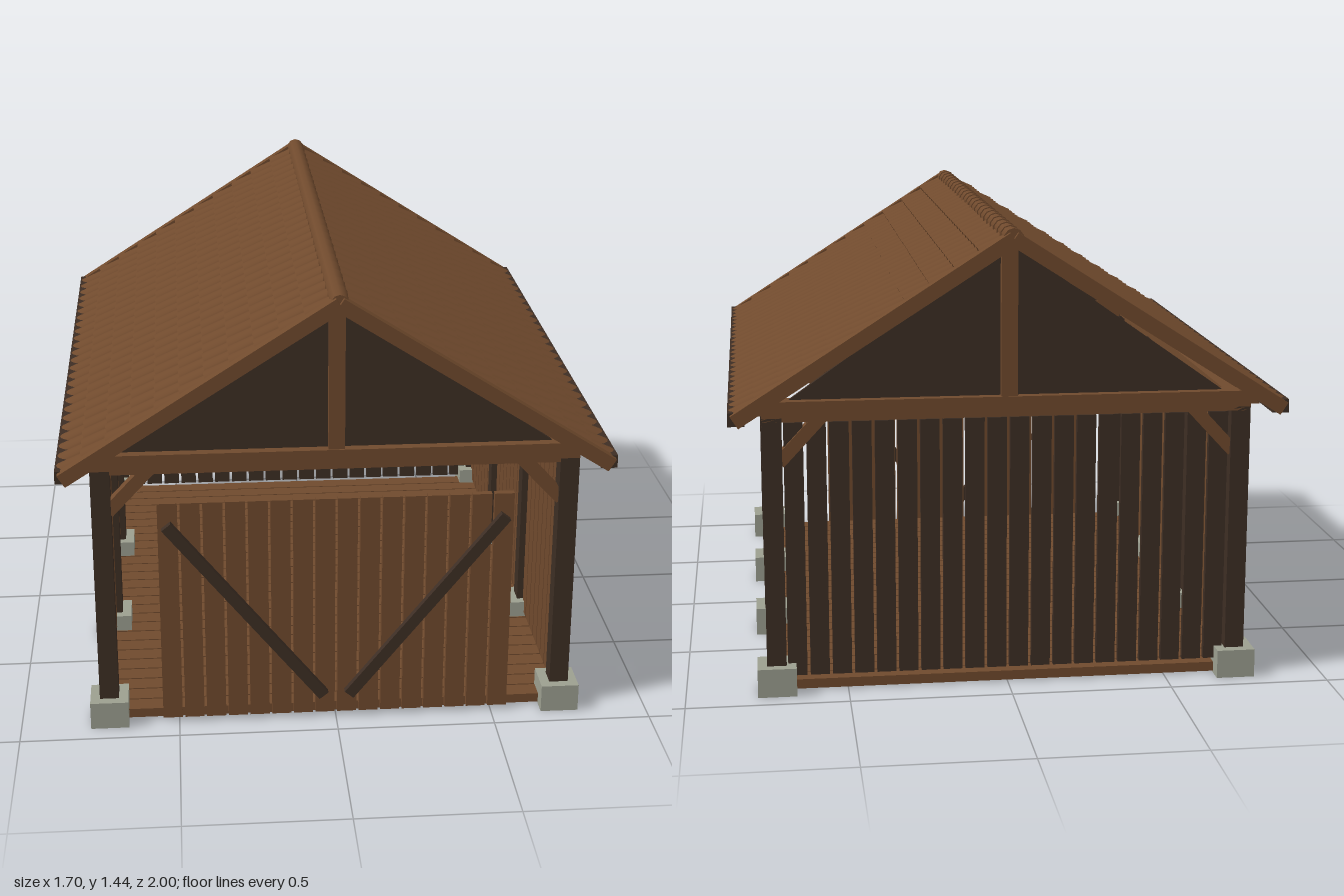
import * as THREE from 'three';
import { mergeGeometries } from 'three/addons/utils/BufferGeometryUtils.js';

const mat = (name, color, side = THREE.FrontSide) => {
  const m = new THREE.MeshStandardMaterial({ color, side });
  m.name = name;
  return m;
};

export function createModel() {
  const wood = mat('brown wood', 0x704a2d, THREE.DoubleSide);
  const dark = mat('dark wood', 0x3d2e24);
  const concrete = mat('concrete', 0x9c9f90);
  const model = new THREE.Group();
  model.name = 'shed';

  const add = (parent, name, geo, material) => {
    const m = new THREE.Mesh(geo, material);
    m.name = name;
    parent.add(m);
    return m;
  };
  // box from its minimum and maximum corners
  const box = (x0, x1, y0, y1, z0, z1) =>
    new THREE.BoxGeometry(x1 - x0, y1 - y0, z1 - z0)
      .translate((x0 + x1) / 2, (y0 + y1) / 2, (z0 + z1) / 2);
  // square bar between two points of an x-y plane
  const bar = (xa, ya, xb, yb, width, z0, z1) =>
    new THREE.BoxGeometry(Math.hypot(xb - xa, yb - ya), width, z1 - z0)
      .rotateZ(Math.atan2(yb - ya, xb - xa))
      .translate((xa + xb) / 2, (ya + yb) / 2, (z0 + z1) / 2);
  // row of equal boards with gaps; make(a, b) gives one board
  const row = (from, to, count, gap, make) => {
    const p = (to - from) / count;
    return mergeGeometries(Array.from({ length: count }, (_, i) =>
      make(from + i * p + gap / 2, from + (i + 1) * p - gap / 2)));
  };

  // footings, posts and side walls
  const postZ = [0.88, 0.295, -0.295, -0.88];
  for (const s of [1, -1]) {
    const cx = s * 0.72;
    for (const z of postZ) {
      add(model, 'footing', box(cx - 0.06, cx + 0.06, 0, 0.09, z - 0.06, z + 0.06), concrete);
      add(model, 'post', box(cx - 0.03, cx + 0.03, 0.09, 0.87, z - 0.03, z + 0.03), dark);
    }
    for (let i = 0; i < 3; i++) {
      add(model, 'sideBoards', row(postZ[i + 1] + 0.03, postZ[i] - 0.03, 8, 0.008,
        (a, b) => box(cx - 0.01, cx + 0.01, 0.05, 0.865, a, b)), wood);
    }
    add(model, 'wallPlate', box(cx - 0.028, cx + 0.028, 0.862, 0.905, -0.85, 0.85), wood);
  }

  // floor planks and back wall
  add(model, 'floor', row(-0.89, 0.89, 27, 0.006,
    (a, b) => box(-0.73, 0.73, 0.005, 0.035, a, b)), wood);
  add(model, 'backWall', row(-0.69, 0.69, 20, 0.01,
    (a, b) => box(a, b, 0.05, 0.852, -0.89, -0.87)), dark);

  // double door with diagonal braces
  add(model, 'door', row(-0.555, 0.555, 16, 0.008,
    (a, b) => box(a, b, 0.015, 0.76, 0.892, 0.914)), wood);
  for (const s of [1, -1]) {
    add(model, 'doorBrace', bar(s * 0.525, 0.69, s * 0.04, 0.085, 0.036, 0.914, 0.936), dark);
  }

  // gable frames at both ends
  const tri = new THREE.Shape([[-0.68, 0.91], [0.68, 0.91], [0, 1.39]]
    .map(([x, y]) => new THREE.Vector2(x, y)));
  for (const s of [1, -1]) {
    const gable = new THREE.Group();
    gable.name = s > 0 ? 'frontGable' : 'backGable';
    gable.rotation.y = s > 0 ? 0 : Math.PI;
    add(gable, 'tieBeam', box(-0.75, 0.75, 0.858, 0.92, 0.85, 0.91), wood);
    add(gable, 'kingPost', box(-0.025, 0.025, 0.92, 1.39, 0.855, 0.905), wood);
    add(gable, 'gablePanel', new THREE.ExtrudeGeometry(tri, { depth: 0.015, bevelEnabled: false })
      .translate(0, 0, 0.865), dark);
    for (const k of [1, -1]) {
      add(gable, 'cornerBrace', bar(k * 0.7, 0.73, k * 0.57, 0.87, 0.04, 0.862, 0.9), wood);
    }
    model.add(gable);
  }

  // one curved roof tile, wider and lifted at its lower end
  const tile = new THREE.CylinderGeometry(0.035, 0.041, 0.102, 8, 1, true, 0, Math.PI)
    .rotateZ(Math.PI / 2).scale(1, 0.6, 1).rotateZ(0.11);
  const cols = 25, rows = 11, pitchZ = 1.94 / cols, pitchS = 0.97 / rows;
  const tiles = [];
  for (let i = 0; i < rows; i++) {
    for (let j = 0; j < cols; j++) {
      tiles.push(tile.clone().translate(0.012 + (i + 0.5) * pitchS, 0, -0.97 + (j + 0.5) * pitchZ));
    }
  }
  const tileGeo = mergeGeometries(tiles);

  // two roof slopes, built along local x from the ridge downwards
  const angle = Math.atan2(0.53, 0.83);
  for (const s of [1, -1]) {
    const half = new THREE.Group();
    half.name = s > 0 ? 'leftRoof' : 'rightRoof';
    half.rotation.y = s > 0 ? 0 : Math.PI;
    const slope = new THREE.Group();
    slope.name = 'slope';
    slope.position.y = 1.41;
    slope.rotation.z = -angle;
    half.add(slope);
    add(slope, 'roofTiles', tileGeo, wood);
    add(slope, 'roofDeck', box(0, 0.97, -0.012, -0.004, -0.968, 0.968), dark);
    for (const k of [1, -1]) {
      add(slope, 'bargeBoard', bar(0, 0, 0.985, 0, 0.044, k * 0.982 - 0.018, k * 0.982 + 0.018), wood);
    }
    for (let i = 0; i < 12; i++) {
      const z = -0.78 + i * 1.56 / 11;
      add(slope, 'rafter', box(0.01, 0.96, -0.03, -0.012, z - 0.016, z + 0.016), wood);
      add(half, 'rafterTail', box(0.74, 0.81, 0.853, 0.89, z - 0.016, z + 0.016), wood);
    }
    add(half, 'eaveFascia', box(0.80, 0.85, 0.864, 0.905, -0.98, 0.98), dark);
    model.add(half);
  }

  // overlapping ridge caps
  const caps = [];
  for (let i = 0; i < 24; i++) {
    caps.push(new THREE.CylinderGeometry(0.027, 0.031, 0.09, 10)
      .rotateX(Math.PI / 2).translate(0, 1.41, -0.94 + i * 1.88 / 23));
  }
  add(model, 'ridgeCaps', mergeGeometries(caps), wood);

  return model;
}
